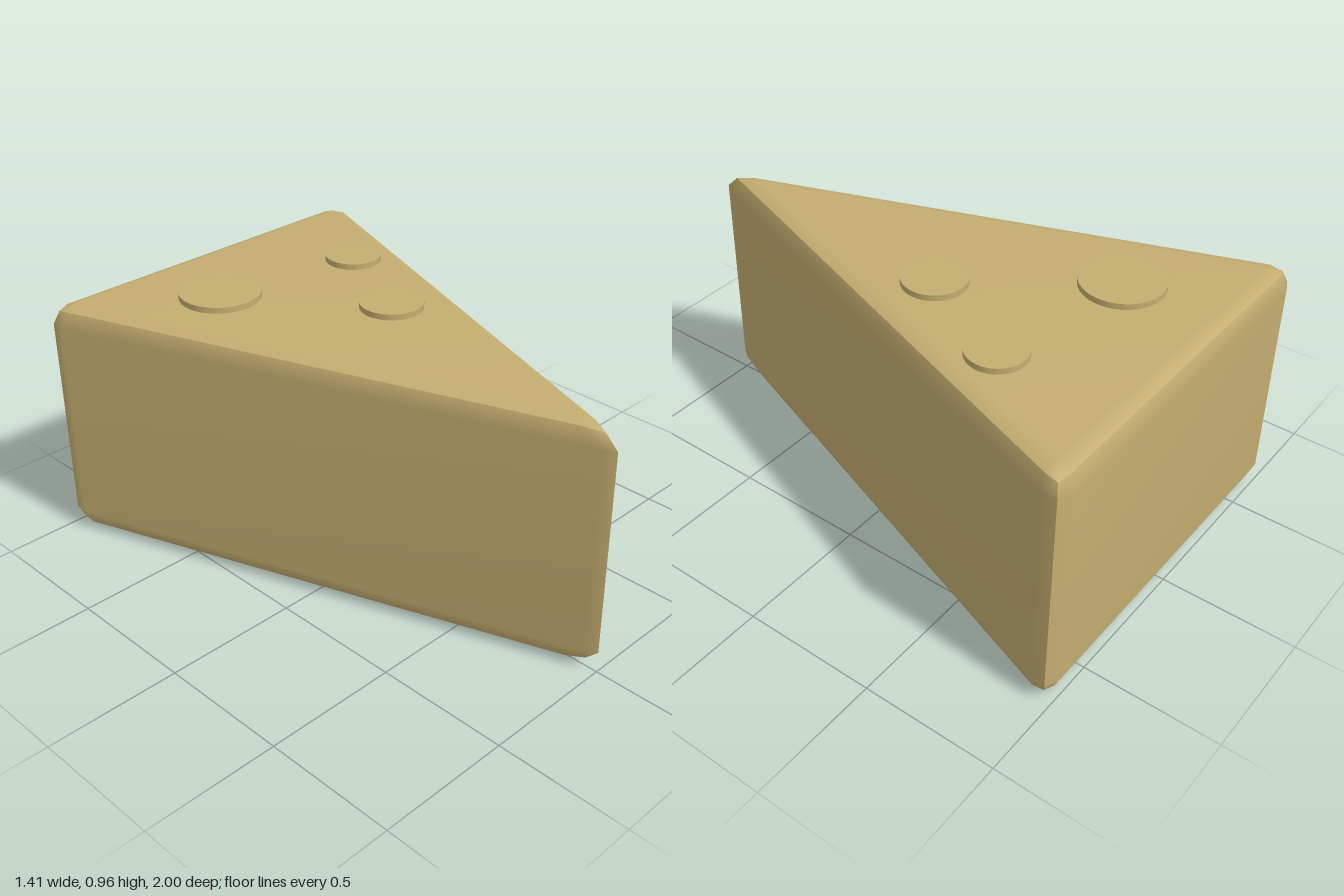
import * as THREE from 'three';

const HEIGHT = 0.94, BEVEL = 0.08;

// Plan of the wedge (x, z), counter-clockwise from above:
// sharp corner, inset corner of the flat top, and how full the rounded upright edge is
const CORNERS = [
  { sharp: [0, 1.036], inset: [0, 0.8], round: 0.48 },
  { sharp: [0.733, -1], inset: [0.62, -0.92], round: 0.58 },
  { sharp: [-0.733, -1], inset: [-0.62, -0.92], round: 0.58 },
];

// Triangular block with two-step bevels; top, bottom and sides are separate smooth patches
function wedgeGeometry() {
  const v2 = (p) => new THREE.Vector2(p[0], p[1]);
  const sharp = CORNERS.map((c) => v2(c.sharp));
  const inset = CORNERS.map((c) => v2(c.inset));
  const dirs = sharp.map((p, i) => sharp[(i + 1) % 3].clone().sub(p).normalize());

  // Bevel points around each corner
  const corners = CORNERS.map((c, i) => {
    const next = dirs[i], prev = dirs[(i + 2) % 3], t = inset[i];
    const facePrev = sharp[i].clone().addScaledVector(prev, -BEVEL);
    const faceNext = sharp[i].clone().addScaledVector(next, BEVEL);
    const edge = facePrev.clone().add(faceNext).multiplyScalar(0.5).lerp(sharp[i], 1 - c.round);
    const shoulder = (f, d) => t.clone().add(f).multiplyScalar(0.5)
      .add(new THREE.Vector2(-d.y, d.x).multiplyScalar(0.0166));
    return {
      t, facePrev, faceNext, edge,
      midPrev: shoulder(facePrev, prev), midNext: shoulder(faceNext, next),
      tip: t.clone().lerp(edge, 0.75),
    };
  });

  const positions = [], index = [];
  const add = (p, y) => positions.push(p.x, y, p.y) / 3 - 1;
  const quad = (a, b, c, d) => index.push(a, b, c, a, c, d);

  // Top and bottom patches
  for (const top of [true, false]) {
    const y = (depth) => (top ? HEIGHT - depth : depth);
    const tri = (a, b, c) => (top ? index.push(a, b, c) : index.push(a, c, b));
    const ids = corners.map((c) => ({
      t: add(c.t, y(0)), prev: add(c.midPrev, y(0.023)),
      tip: add(c.tip, y(0.032)), next: add(c.midNext, y(0.023)),
    }));
    tri(ids[0].t, ids[1].t, ids[2].t);
    ids.forEach((a, i) => {
      const b = ids[(i + 1) % 3];
      tri(a.t, a.prev, a.tip);
      tri(a.t, a.tip, a.next);
      tri(a.t, a.next, b.prev);
      tri(a.t, b.prev, b.t);
    });
  }

  // Three side patches, each a 4 x 4 grid
  corners.forEach((a, i) => {
    const b = corners[(i + 1) % 3];
    const shoulderRow = [a.tip, a.midNext, b.midPrev, b.tip];
    const faceRow = [a.edge, a.faceNext, b.facePrev, b.edge];
    const outer = [0.032, 0.023, 0.023, 0.032];
    const rows = [
      shoulderRow.map((p, k) => add(p, outer[k])),
      faceRow.map((p) => add(p, BEVEL)),
      faceRow.map((p) => add(p, HEIGHT - BEVEL)),
      shoulderRow.map((p, k) => add(p, HEIGHT - outer[k])),
    ];
    for (let r = 0; r < 3; r++) {
      for (let k = 0; k < 3; k++) {
        quad(rows[r][k], rows[r][k + 1], rows[r + 1][k + 1], rows[r + 1][k]);
      }
    }
  });

  const geometry = new THREE.BufferGeometry();
  geometry.setAttribute('position', new THREE.Float32BufferAttribute(positions, 3));
  geometry.setIndex(index);
  geometry.computeVertexNormals();
  return geometry;
}

export function createModel() {
  const model = new THREE.Group();
  model.name = 'cheeseWedge';
  const cheese = new THREE.MeshStandardMaterial({ color: 0xc4ad70 });
  cheese.name = 'cheese yellow';

  const wedge = new THREE.Mesh(wedgeGeometry(), cheese);
  wedge.name = 'wedge';
  model.add(wedge);

  // Raised round spots on the top: x, z, radius
  const spots = [[-0.235, -0.6, 0.15], [0.335, -0.5, 0.106], [0.135, -0.1, 0.116]];
  spots.forEach(([x, z, radius], i) => {
    const spot = new THREE.Mesh(new THREE.CylinderGeometry(radius, radius, 0.04, 48), cheese);
    spot.name = `spot${i + 1}`;
    spot.position.set(x, 0.942, z);
    model.add(spot);
  });
  return model;
}
